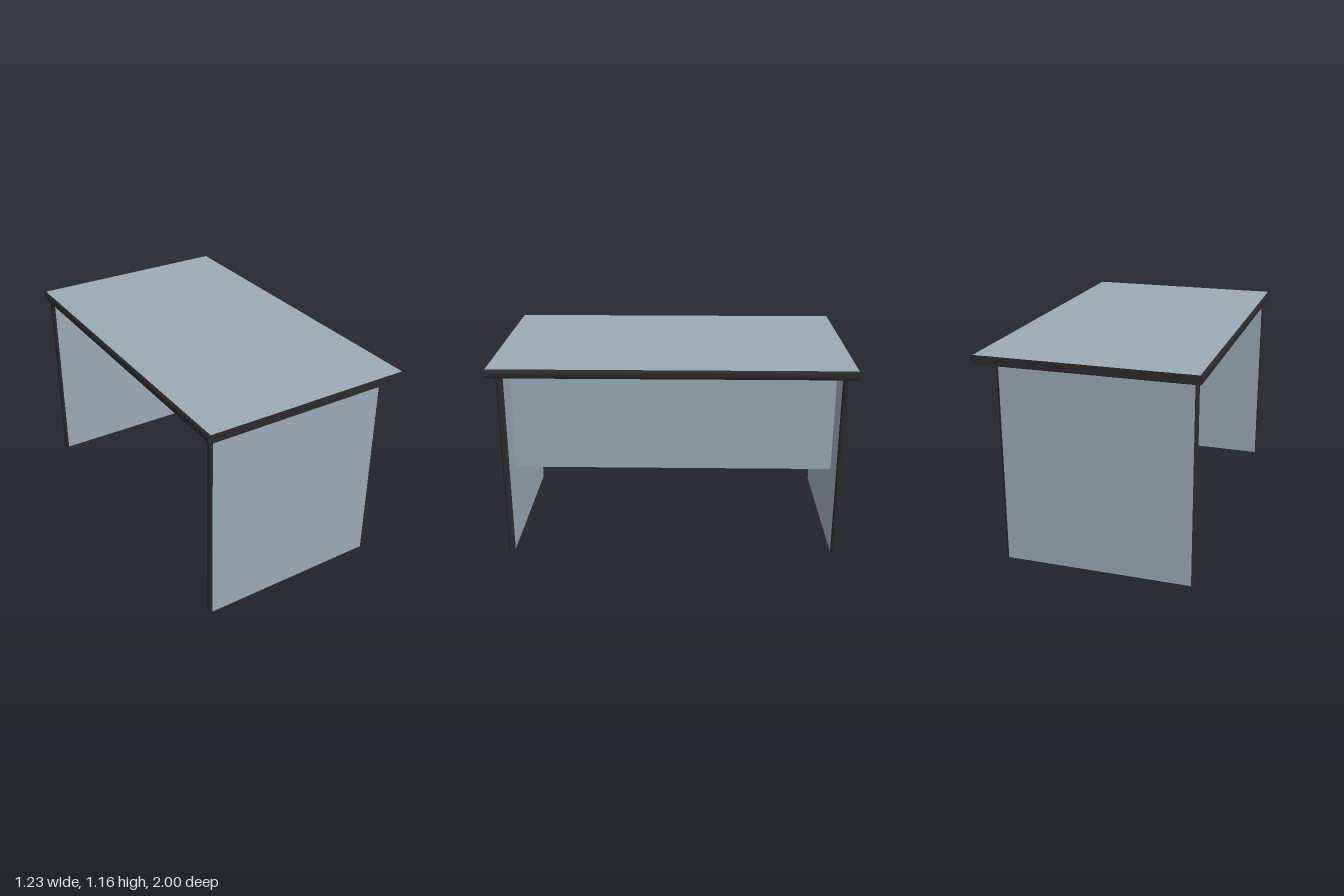
import * as THREE from 'three';

const laminate = new THREE.MeshStandardMaterial({ name: 'blue grey laminate', color: 0x9aaab4 });
const edging = new THREE.MeshStandardMaterial({ name: 'black edging', color: 0x2b2b2b });

// Rounded edging strip: flat side at x = 0, bulging to x = depth, running along z
function edgeStrip(depth, thickness, length) {
  const h = thickness / 2;
  const bend = h * 0.85;
  const shape = new THREE.Shape();
  shape.moveTo(0, -h);
  shape.absellipse(0, -h + bend, depth, bend, -Math.PI / 2, 0, false);
  shape.absellipse(0, h - bend, depth, bend, 0, Math.PI / 2, false);
  shape.closePath();
  const geometry = new THREE.ExtrudeGeometry(shape, { depth: length, bevelEnabled: false, curveSegments: 6 });
  return geometry.translate(0, 0, -length / 2);
}

// Board lying flat, with edging along both long sides
function board(name, width, thickness, length, depth, endMaterial) {
  const group = new THREE.Group();
  group.name = name;
  const coreWidth = width - 2 * depth;
  const core = new THREE.Mesh(
    new THREE.BoxGeometry(coreWidth, thickness, length),
    [laminate, laminate, laminate, laminate, endMaterial, endMaterial]
  );
  core.name = name + 'Core';
  group.add(core);
  for (const side of [1, -1]) {
    const strip = new THREE.Mesh(edgeStrip(depth, thickness, length), edging);
    strip.name = side > 0 ? 'leftEdging' : 'rightEdging';
    strip.position.x = side * coreWidth / 2;
    if (side < 0) strip.rotation.z = Math.PI;
    group.add(strip);
  }
  return group;
}

export function createModel() {
  const desk = new THREE.Group();
  desk.name = 'desk';

  // Worktop, edged all round
  const top = board('worktop', 1.23, 0.05, 2, 0.014, edging);
  top.position.y = 1.14;
  desk.add(top);

  // Upright end panels, set back under the overhang on one side
  for (const [name, z] of [['frontEndPanel', 0.955], ['backEndPanel', -0.96]]) {
    const panel = board(name, 1.075, 0.04, 1.115, 0.016, laminate);
    panel.rotation.x = Math.PI / 2;
    panel.position.set(-0.052, 0.5575, z);
    desk.add(panel);
  }

  // Hanging screen between the end panels
  const screen = new THREE.Mesh(new THREE.BoxGeometry(0.025, 0.66, 1.875), laminate);
  screen.name = 'modestyPanel';
  screen.position.set(0.27, 0.785, -0.0025);
  desk.add(screen);

  return desk;
}
